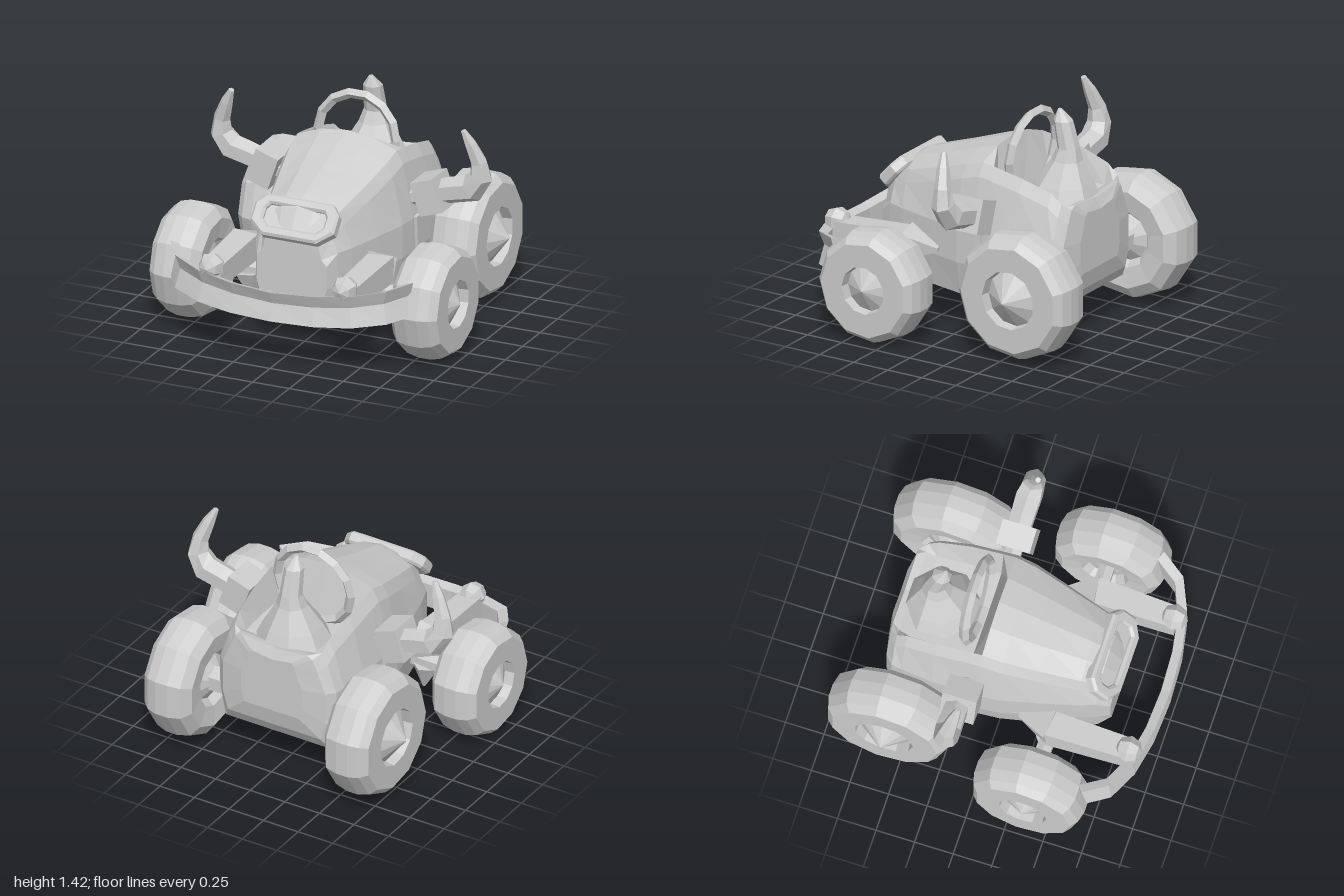
import * as THREE from 'three';

const grey = new THREE.MeshStandardMaterial({ color: 0xcccccc, flatShading: true, side: THREE.DoubleSide });
grey.name = 'grey';
const V = (x, y, z) => new THREE.Vector3(x, y, z);

// Skin over a list of equal-length rings of points, closed at both ends
function loft(rings) {
  const n = rings[0].length, pos = [], idx = [];
  rings.forEach(r => r.forEach(p => pos.push(p.x, p.y, p.z)));
  for (let i = 0; i < rings.length - 1; i++) {
    for (let j = 0; j < n; j++) {
      const a = i * n + j, b = i * n + (j + 1) % n;
      idx.push(a, a + n, b, b, a + n, b + n);
    }
  }
  [0, rings.length - 1].forEach((i, end) => {
    const c = rings[i].reduce((s, p) => s.add(p), V(0, 0, 0)).divideScalar(n);
    const k = pos.length / 3;
    pos.push(c.x, c.y, c.z);
    for (let j = 0; j < n; j++) {
      const a = i * n + j, b = i * n + (j + 1) % n;
      end ? idx.push(k, b, a) : idx.push(k, a, b);
    }
  });
  const g = new THREE.BufferGeometry();
  g.setAttribute('position', new THREE.Float32BufferAttribute(pos, 3));
  g.setIndex(idx);
  g.computeVertexNormals();
  return g;
}

// Body cross-section: straight flank, sloped shoulder, then either the hood
// crown or, when a floor height is given, a drop into the cockpit
function bodyRing([z, w, bottom, crest, floor]) {
  const half = [
    [w * .9, bottom], [w, Math.max(.45, bottom + .08)], [w, Math.min(.67, crest - .2)],
    [w * .85, crest - .16], [w * .75, crest - .08],
    floor ? [w * .64, floor] : [w * .38, crest - .02],
    [0, floor ? floor - .02 : crest],
  ];
  const mirrored = half.slice(0, -1).reverse().map(([x, y]) => [-x, y]);
  return [...half, ...mirrored].map(([x, y]) => V(x, y, z));
}

export function createModel() {
  const model = new THREE.Group();
  model.name = 'buggy';
  const add = (name, geo, parent = model) => {
    const m = new THREE.Mesh(geo, grey);
    m.name = name;
    parent.add(m);
    return m;
  };
  // Tapered bar between two points
  const rod = (name, a, b, r1, r2, sides) => {
    const m = add(name, new THREE.CylinderGeometry(r2, r1, a.distanceTo(b), sides, 1, false, Math.PI / sides));
    m.position.copy(a).lerp(b, 0.5);
    m.quaternion.setFromUnitVectors(V(0, 1, 0), b.clone().sub(a).normalize());
  };

  // Body tub: z, half width, underside, crest, cockpit floor
  add('body', loft([
    [.69, .24, .36, .80], [.61, .28, .25, .93], [.5, .32, .23, .98], [.25, .385, .23, 1.06],
    [.02, .44, .23, 1.14], [-.11, .45, .23, 1.18],
    [-.19, .45, .23, 1.17, .86], [-.4, .45, .23, 1.13, .86], [-.6, .43, .23, 1.07, .86],
    [-.67, .42, .25, 1.01, .9], [-.72, .37, .33, .97, .91], [-.75, .22, .45, .9, .84],
  ].map(bodyRing)));

  // Mouth-shaped grille on the nose: frame with a sunken panel
  const grille = new THREE.Group();
  grille.name = 'grille';
  grille.position.set(0, .83, .61);
  grille.rotation.x = -.72;
  model.add(grille);
  const octagon = (w, h, c, Type) => new Type([
    [-w, -h * .4], [-w + c, -h], [w - c, -h], [w, -h * .4], [w, h * .5], [w - c * .6, h], [-w + c * .6, h], [-w, h * .5],
  ].map(([x, y]) => new THREE.Vector2(x, y)));
  const frame = octagon(.27, .12, .09, THREE.Shape);
  frame.holes.push(octagon(.22, .085, .05, THREE.Path));
  add('grilleFrame', new THREE.ExtrudeGeometry(frame, {
    depth: .05, bevelThickness: .015, bevelSize: .015, bevelSegments: 1,
  }), grille);
  add('grillePanel', new THREE.ExtrudeGeometry(octagon(.23, .095, .05, THREE.Shape), {
    depth: .035, bevelEnabled: false,
  }), grille);

  // Steering hoop
  const hoop = add('hoop', new THREE.TorusGeometry(.265, .032, 4, 14));
  hoop.position.set(0, 1.1, -.25);
  hoop.rotation.x = -.08;

  // Flared tail post in the cockpit, leaning forward
  const post = [[.25, .83, -.48], [.19, .95, -.49], [.1, 1.1, -.51], [.072, 1.18, -.52], [.062, 1.35, -.48], [.012, 1.42, -.455]];
  add('tailPost', loft(post.map(([r, y, z]) => Array.from({ length: 8 }, (_, i) => {
    const t = (i + .5) * Math.PI / 4;
    return V(r * Math.cos(t), y, z + r * Math.sin(t));
  }))));

  // Curved bumper with a channel along its front
  const bumperPath = [[.83, .69, .48], [.72, .85, .46], [.52, .94, .43], [.28, .985, .41], [0, 1, .4]];
  const stations = [...bumperPath, ...bumperPath.slice(0, -1).reverse().map(([x, z, y]) => [-x, z, y])];
  const channel = [[-.06, -.08], [-.06, .08], [0, .1], [-.035, .02], [0, -.09]];
  add('bumper', loft(stations.map(([x, z, y]) => {
    const out = V(x * .9, 0, z * z * .8).normalize();
    const grow = 1 + Math.abs(x) * .2;
    return channel.map(([o, h]) => V(x + out.x * o, y + h * grow, z + out.z * o));
  })));

  // Wheel turned about its axle: dished hub with a pointed cap on the outside
  function wheel(name, s, x, y, z, R, w, hub, cap, inner) {
    const profile = [
      [0, -inner], [hub * .8, -w * .6], [hub, -w * .9], [R * .78, -w], [R * .95, -w * .7], [R, -w * .2],
      [R, w * .3], [R * .95, w * .72], [R * .84, w], [hub, w], [hub * .96, w * .6], [0, cap],
    ].map(p => new THREE.Vector2(...p));
    const m = add(name, new THREE.LatheGeometry(profile, 11));
    m.position.set(s * x, y, z);
    m.rotation.z = -s * Math.PI / 2;
  }

  for (const s of [1, -1]) {
    const side = s > 0 ? 'left' : 'right';
    wheel(side + 'FrontWheel', s, .815, .36, .36, .365, .165, .155, .18, .12);
    wheel(side + 'RearWheel', s, .645, .435, -.595, .41, .165, .19, .235, .2);

    // Suspension arm with a knob in front and a pointed joint below the axle
    rod(side + 'ArmGusset', V(s * .43, .5, .16), V(s * .46, .52, .38), .02, .13, 4);
    rod(side + 'FrontArm', V(s * .46, .52, .36), V(s * .455, .5, .9), .12, .1, 4);
    const knob = add(side + 'Knob', new THREE.SphereGeometry(.085, 7, 4));
    knob.position.set(s * .455, .56, .88);
    knob.rotation.x = Math.PI / 2;
    rod(side + 'LowerJoint', V(s * .44, .34, .36), V(s * .42, .17, .36), .1, .012, 5);

    // Thin strut on the flank
    const strut = add(side + 'Strut', new THREE.BoxGeometry(.03, .32, .05));
    strut.position.set(s * .455, .52, -.16);
    strut.rotation.x = .08;

    // Horn socket
    const socket = add(side + 'HornSocket', new THREE.BoxGeometry(.16, .22, .22));
    socket.position.set(s * .56, .84, -.17);
    socket.rotation.z = s * .33;
    rod(side + 'SocketMount', V(s * .4, .79, -.17), V(s * .52, .83, -.17), .06, .06, 6);

    // Horn: thick at the socket, bending up to a point
    const path = [[.56, .84, -.18, .08], [.7, .88, -.18, .085], [.82, .91, -.18, .09], [.885, 1, -.17, .075],
      [.875, 1.1, -.16, .055], [.83, 1.22, -.135, .04], [.79, 1.31, -.115, .018]];
    const pts = path.map(([x, y, z]) => V(s * x, y, z));
    add(side + 'Horn', loft(path.map(([, , , r], i) => {
      const t = pts[Math.min(i + 1, pts.length - 1)].clone().sub(pts[Math.max(i - 1, 0)]).normalize();
      const n = V(0, 0, 1).cross(t).normalize();
      const b = t.clone().cross(n);
      return Array.from({ length: 6 }, (_, k) => {
        const a = k * Math.PI / 3;
        return pts[i].clone().addScaledVector(n, r * Math.cos(a)).addScaledVector(b, -r * Math.sin(a));
      });
    })));
  }

  // Axles
  rod('frontAxle', V(-.72, .36, .36), V(.72, .36, .36), .055, .055, 6);
  rod('rearAxle', V(-.6, .435, -.595), V(.6, .435, -.595), .09, .09, 6);

  return model;
}
